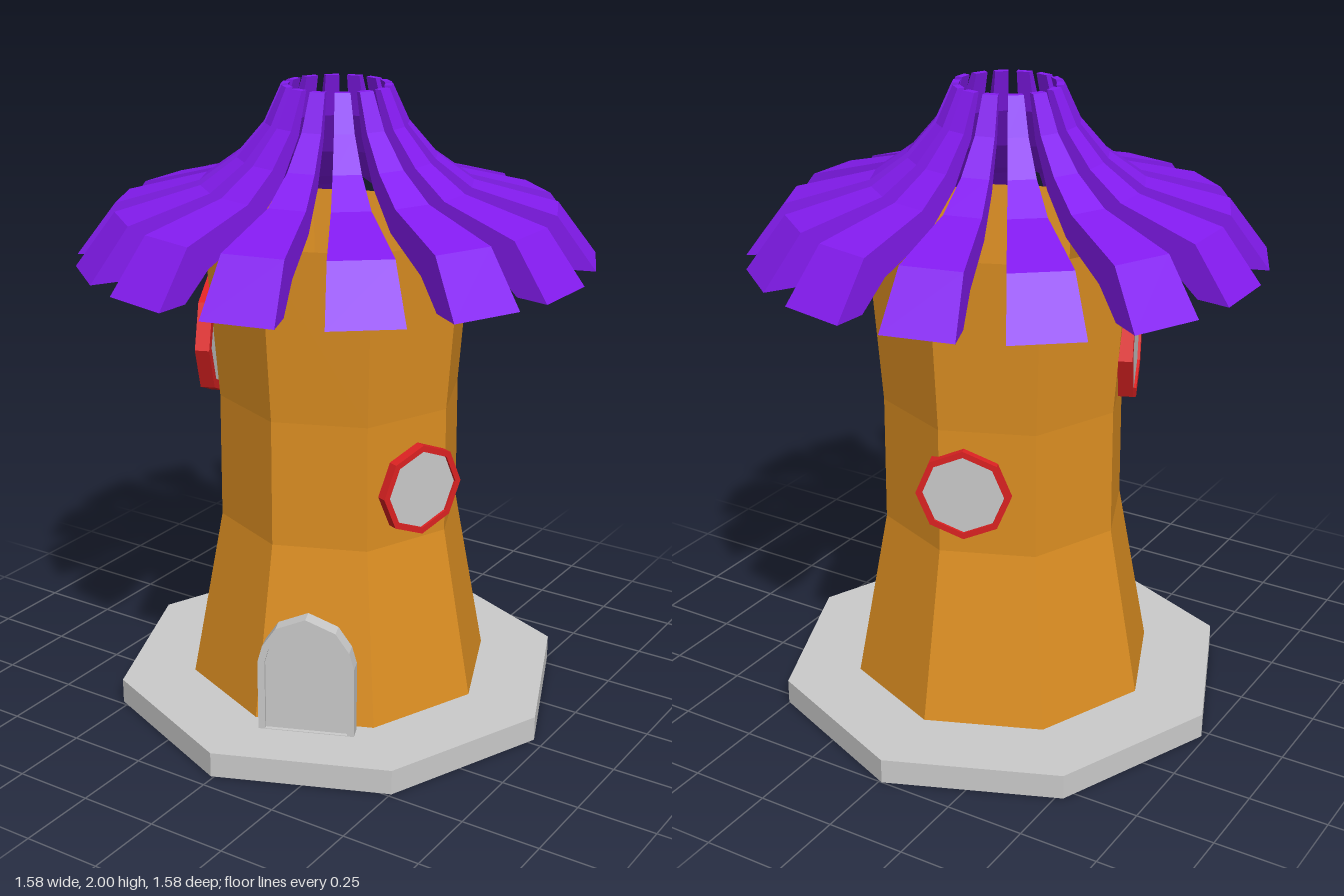
import * as THREE from 'three';

const mat = (color, extra = {}) => new THREE.MeshStandardMaterial({ color, flatShading: true, ...extra });
const GREY = mat(0xcccccc);
const ORANGE = mat(0xdd8f22, { side: THREE.DoubleSide });
const PURPLE = mat(0x841bf0);
const RED = mat(0xdd2222);
const CX = -0.01, CZ = -0.025; // tower axis
const TILT = Math.PI / 8;      // wall normals lie halfway between the octagon corners

function mesh(name, geometry, material) {
  const m = new THREE.Mesh(geometry, material);
  m.name = name;
  return m;
}

const points = (list) => list.map(([x, y]) => new THREE.Vector2(x, y));

// Flat plate with an optional hole, front face at z = 0
function plate(outline, depth, hole) {
  const shape = new THREE.Shape(outline);
  if (hole) shape.holes.push(new THREE.Path(hole));
  return new THREE.ExtrudeGeometry(shape, { depth, bevelEnabled: false }).translate(0, 0, -depth);
}

// Eight-sided window: red rim around a grey pane
function makeWindow(name, radius, rim, position, angle) {
  const octagon = (r) => points(Array.from({ length: 8 }, (_, i) => {
    const a = i * Math.PI / 4;
    return [Math.cos(a) * r, Math.sin(a) * r];
  }));
  const g = new THREE.Group();
  g.name = name;
  g.add(mesh('windowRim', plate(octagon(radius), 0.045, octagon(radius - rim)), RED));
  const pane = mesh('windowPane', plate(octagon(radius - rim), 0.03), GREY);
  pane.position.z = -0.008;
  g.add(pane);
  g.position.set(...position);
  g.rotation.y = angle;
  return g;
}

// Arched door: raised frame around a recessed panel
function makeDoor() {
  const arch = (w, s, h) => points([
    [-w, 0], [w, 0], [w, s], [w * 0.9, s + (h - s) * 0.35], [w * 0.62, s + (h - s) * 0.75],
    [0, h], [-w * 0.62, s + (h - s) * 0.75], [-w * 0.9, s + (h - s) * 0.35], [-w, s],
  ]);
  const g = new THREE.Group();
  g.name = 'door';
  g.add(mesh('doorFrame', plate(arch(0.15, 0.23, 0.385), 0.05, arch(0.128, 0.23, 0.36).map((p) => p.setY(Math.max(p.y, 0.002)))), GREY));
  const panel = mesh('doorPanel', plate(arch(0.128, 0.23, 0.36), 0.035), GREY);
  panel.position.z = -0.012;
  g.add(panel);
  g.position.set(0.165, 0.08, 0.442);
  g.rotation.y = TILT;
  return g;
}

// Curved roof slat: side profile (radius, height) extruded, then tapered toward the axis
function slatGeometry() {
  const profile = points([
    [0.785, 1.48], [0.665, 1.64], [0.41, 1.71], [0.3, 1.79], [0.215, 1.89], [0.165, 2.0],
    [0.143, 2.0], [0.18, 1.87], [0.26, 1.74], [0.38, 1.635], [0.58, 1.56], [0.68, 1.48],
  ]);
  const geo = new THREE.ExtrudeGeometry(new THREE.Shape(profile), { depth: 1, bevelEnabled: false });
  const p = geo.attributes.position;
  for (let i = 0; i < p.count; i++) p.setZ(i, (p.getZ(i) - 0.5) * 0.28 * p.getX(i));
  geo.computeVertexNormals();
  return geo;
}

export function createModel() {
  const model = new THREE.Group();
  model.name = 'tower';

  // Base slab
  const base = mesh('base', new THREE.CylinderGeometry(0.725, 0.725, 0.08, 8), GREY);
  base.position.set(CX, 0.04, CZ);
  model.add(base);

  // Open-topped wall with a narrow waist
  const wall = mesh('wall', new THREE.LatheGeometry(
    points([[0.487, 0.09], [0.385, 0.64], [0.383, 1.04], [0.424, 1.58]]), 8), ORANGE);
  wall.position.set(CX, 0, CZ);
  model.add(wall);

  // Door and windows
  model.add(makeDoor());
  model.add(makeWindow('upperWindow', 0.193, 0.03, [-0.372, 1.21, 0.168], -3 * TILT));
  model.add(makeWindow('sideWindow', 0.145, 0.02, [0.362, 0.81, 0.088], 3 * TILT));
  model.add(makeWindow('backWindow', 0.145, 0.02, [-0.09, 0.84, -0.4], Math.PI + TILT));

  // Ring of roof slats
  const roof = new THREE.Group();
  roof.name = 'roof';
  const slat = slatGeometry();
  for (let i = 0; i < 14; i++) {
    const s = mesh('roofSlat', slat, PURPLE);
    s.rotation.y = i === 0 ? -0.04 : i * Math.PI / 7;
    s.position.x = i === 0 ? 0 : -0.007;
    roof.add(s);
  }
  model.add(roof);
  return model;
}
